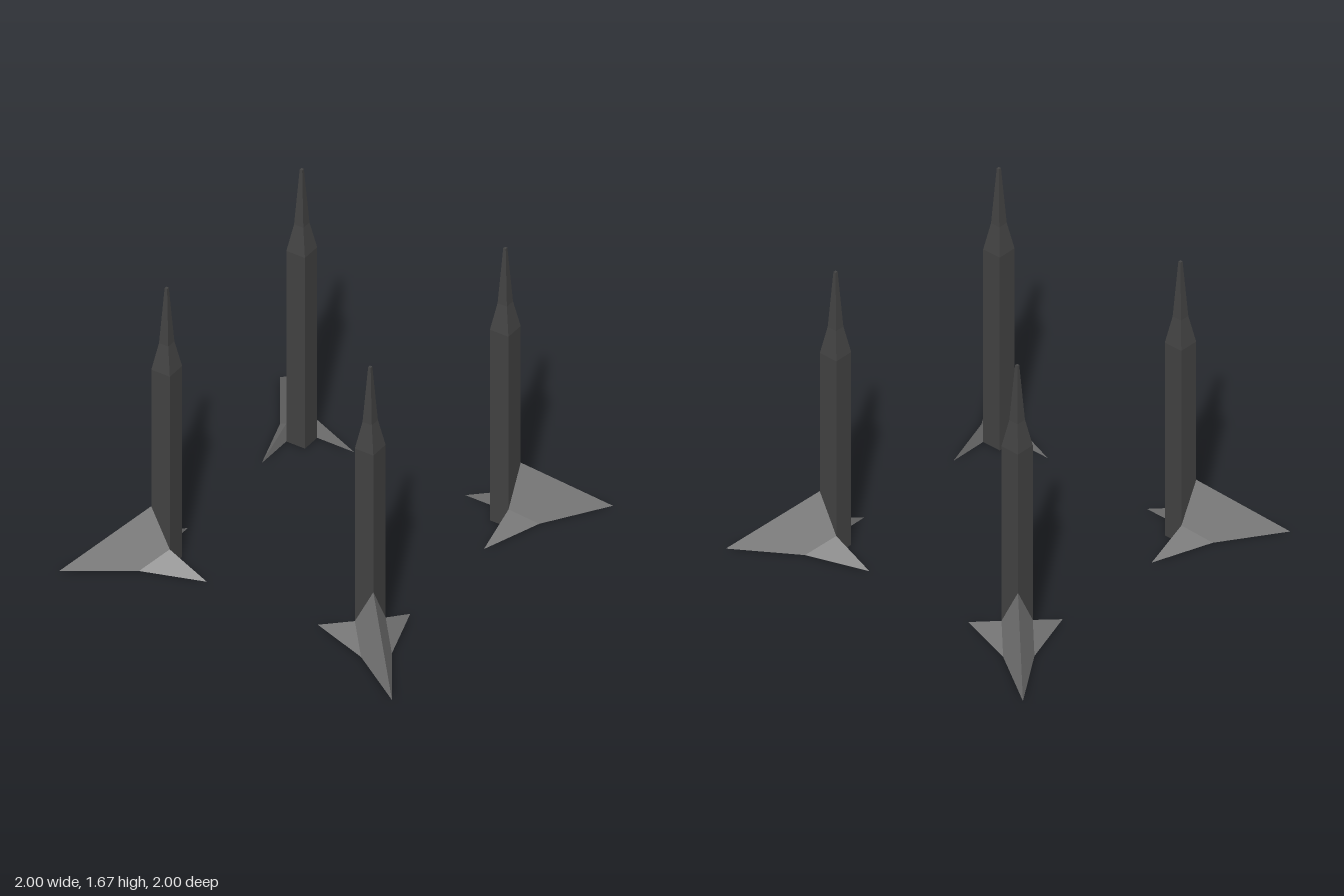
import * as THREE from 'three';

const columnMat = new THREE.MeshStandardMaterial({ color: 0x444444 });
columnMat.name = 'dark grey';
columnMat.flatShading = true;
const footMat = new THREE.MeshStandardMaterial({ color: 0x7c7c7c });
footMat.name = 'mid grey';
footMat.flatShading = true;

// Square column with a shoulder and a long narrow spike
function columnGeometry() {
  const profile = [[0, 0], [0.0556, 0], [0.0556, 1.175], [0.0278, 1.333], [0.0075, 1.667], [0, 1.667]]
    .map(([half, y]) => new THREE.Vector2(half * Math.SQRT2, y));
  return new THREE.LatheGeometry(profile, 4, Math.PI / 4).toNonIndexed();
}

// Corner foot: one half as fans of corners, the other half swaps x and z
function footGeometry() {
  const apex = [0.667, 0.333, 0.667], outer = [1, 0, 1], valley = [0.667, 0, 0.778];
  const bend = [0.556, 0.111, 0.667], tip = [0.333, 0, 0.667], corner = [0.667, 0, 0.667];
  const faces = [
    [apex, bend, valley, outer],  // large outer slope
    [tip, valley, bend],          // low toe slope
    [bend, apex, corner, tip],    // upright inner wall
    [valley, tip, corner, outer], // underside
  ];
  const positions = [];
  for (const face of faces) {
    for (let i = 1; i < face.length - 1; i++) {
      const tri = [face[0], face[i], face[i + 1]];
      tri.forEach((p) => positions.push(...p));
      tri.reverse().forEach(([x, y, z]) => positions.push(z, y, x));
    }
  }
  const geometry = new THREE.BufferGeometry();
  geometry.setAttribute('position', new THREE.Float32BufferAttribute(positions, 3));
  geometry.computeVertexNormals();
  return geometry;
}

export function createModel() {
  const model = new THREE.Group();
  model.name = 'fourPillars';
  const columnGeo = columnGeometry();
  columnGeo.computeVertexNormals();
  const footGeo = footGeometry();

  // One pillar at each corner, turned a quarter each time
  for (let i = 0; i < 4; i++) {
    const pillar = new THREE.Group();
    pillar.name = `pillar${i + 1}`;
    const column = new THREE.Mesh(columnGeo, columnMat);
    column.name = 'column';
    column.position.set(0.6111, 0, 0.6111);
    const foot = new THREE.Mesh(footGeo, footMat);
    foot.name = 'foot';
    pillar.add(column, foot);
    pillar.rotation.y = i * Math.PI / 2;
    model.add(pillar);
  }
  return model;
}
